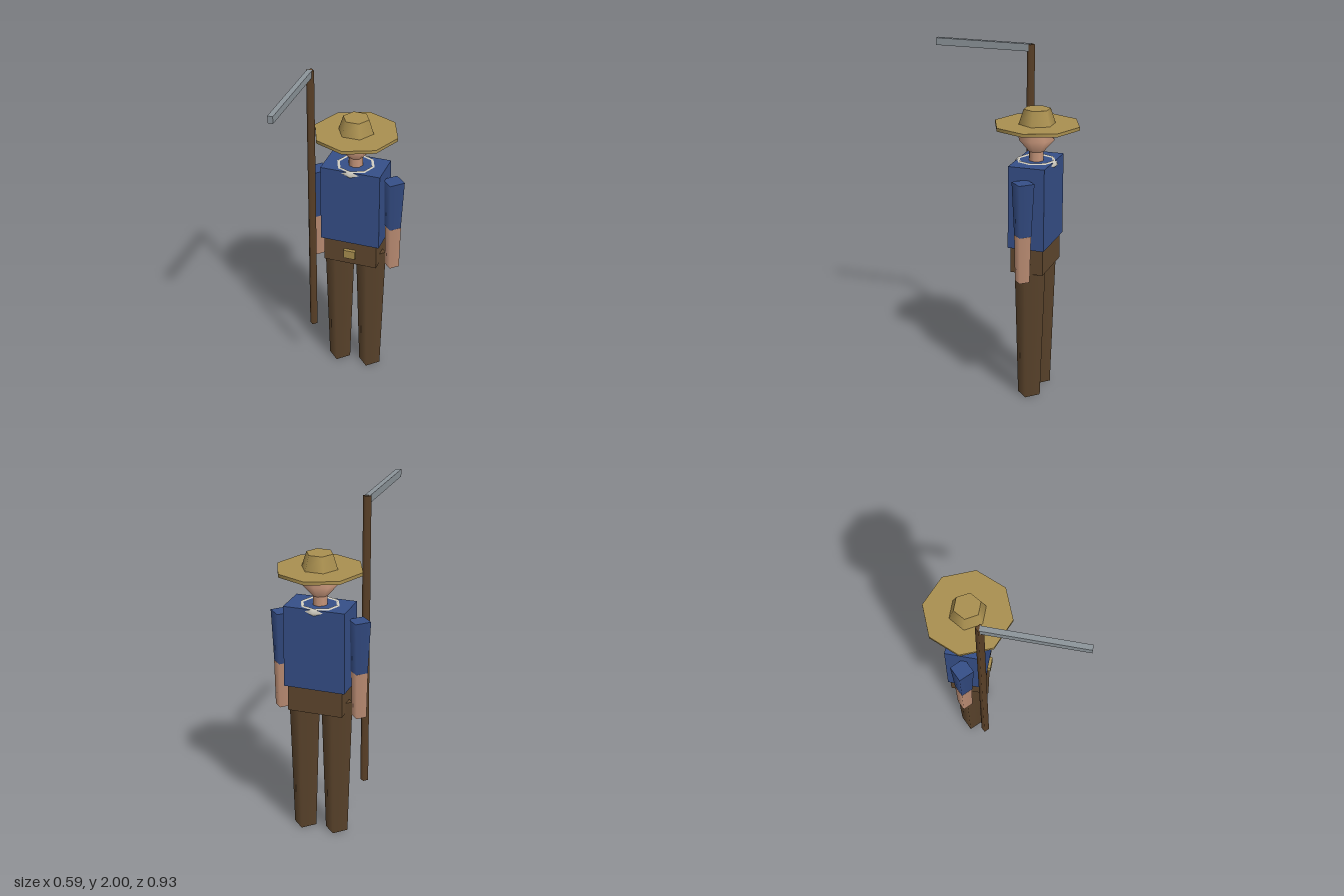
import * as THREE from 'three';

const mat = (name, color) => {
  const m = new THREE.MeshStandardMaterial({ color });
  m.name = name;
  return m;
};

export function createModel() {
  const straw = mat('straw', 0xaa9050);
  const skin = mat('skin', 0xc6957a);
  const blue = mat('blue cloth', 0x364f88);
  const brown = mat('brown cloth', 0x5f472e);
  const wood = mat('wood', 0x5f442a);
  const white = mat('scarf white', 0xdcd8cc);
  const steel = mat('steel', 0x8d959b);

  const model = new THREE.Group();
  model.name = 'farmer';
  const Z = -0.217; // depth of the standing figure

  const add = (name, geometry, material, x, y, z) => {
    const mesh = new THREE.Mesh(geometry, material);
    mesh.name = name;
    mesh.position.set(x, y, z);
    model.add(mesh);
    return mesh;
  };
  // Tapered prism between two heights
  const post = (name, material, x, z, y0, y1, r0, r1, sides = 4) =>
    add(name, new THREE.CylinderGeometry(r1, r0, y1 - y0, sides), material, x, (y0 + y1) / 2, z);
  const box = (name, material, w, h, d, x, y, z) =>
    add(name, new THREE.BoxGeometry(w, h, d), material, x, y, z);

  // Legs and arms, mirrored
  for (const [side, s] of [['left', 1], ['right', -1]]) {
    post(side + 'Leg', brown, s * 0.097, Z, 0, 0.83, 0.067, 0.093);
    post(side + 'Sleeve', blue, s * 0.228, Z, 1.02, 1.325, 0.05, 0.066);
    post(side + 'Forearm', skin, s * 0.23, Z, 0.75, 1.02, 0.043, 0.049);
  }

  // Trunk
  box('hips', brown, 0.32, 0.15, 0.19, 0, 0.845, Z);
  box('buckle', straw, 0.07, 0.052, 0.025, 0, 0.842, -0.113);
  box('torso', blue, 0.356, 0.475, 0.21, 0, 1.1575, Z);

  // Scarf ring, poking out of the chest and back
  const scarf = add('scarf', new THREE.TorusGeometry(0.105, 0.022, 4, 8), white, 0, 1.381, Z);
  scarf.rotation.x = Math.PI / 2;

  // Head
  post('neck', skin, 0, Z, 1.38, 1.47, 0.043, 0.043, 8);
  const head = add('head', new THREE.SphereGeometry(0.106, 8, 2), skin, 0, 1.52, Z);
  head.scale.y = 1.15;

  // Hat
  post('hatBrim', straw, 0, Z - 0.003, 1.586, 1.605, 0.247, 0.247, 8);
  post('hatCrown', straw, 0, Z - 0.003, 1.605, 1.69, 0.105, 0.077, 6).rotation.y = Math.PI / 2;

  // Scythe
  post('scytheHandle', wood, -0.228, -0.105, 0.29, 1.998, 0.0235, 0.0235);
  box('scytheBlade', steel, 0.03, 0.042, 0.572, -0.23, 1.979, 0.181);

  return model;
}
